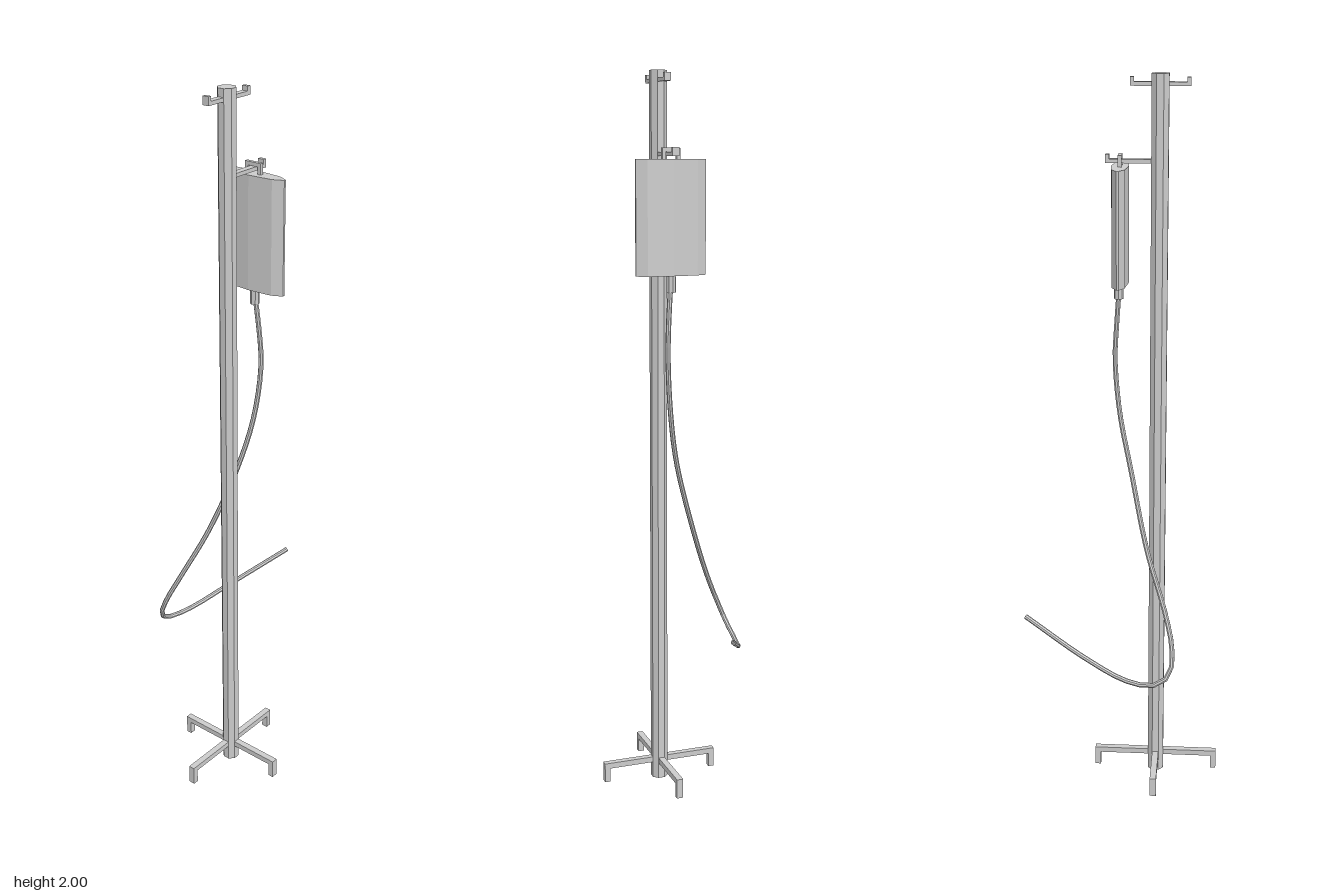
import * as THREE from 'three';

const TURN = THREE.MathUtils.degToRad(21);
const material = new THREE.MeshStandardMaterial({ color: 0xcccccc, flatShading: true });

function add(parent, name, geometry, x = 0, y = 0, z = 0) {
  const mesh = new THREE.Mesh(geometry, material);
  mesh.name = name;
  mesh.position.set(x, y, z);
  parent.add(mesh);
  return mesh;
}

// Bar running outwards along +x with its end bent up or down
function bentArm(name, length, thick, tip, width) {
  const shape = new THREE.Shape();
  const low = Math.min(0, tip), high = Math.max(thick, thick + tip);
  shape.moveTo(0, 0);
  shape.lineTo(length - thick, 0);
  if (tip < 0) shape.lineTo(length - thick, low);
  shape.lineTo(length, low);
  shape.lineTo(length, high);
  if (tip > 0) {
    shape.lineTo(length - thick, high);
    shape.lineTo(length - thick, thick);
  }
  shape.lineTo(0, thick);
  shape.closePath();
  const geometry = new THREE.ExtrudeGeometry(shape, { depth: width, bevelEnabled: false });
  geometry.translate(0, 0, -width / 2);
  const mesh = new THREE.Mesh(geometry, material);
  mesh.name = name;
  return mesh;
}

export function createModel() {
  const model = new THREE.Group();
  model.name = 'dripStand';

  // Stand, turned about the pole
  const stand = new THREE.Group();
  stand.name = 'stand';
  stand.position.set(-0.073, 0, 0.035);
  stand.rotation.y = TURN;
  model.add(stand);

  const pole = add(stand, 'pole', new THREE.CylinderGeometry(0.024, 0.024, 2, 8), 0, 1, 0);
  pole.rotation.y = Math.PI / 8;

  // Four legs with feet
  for (let i = 0; i < 4; i++) {
    const leg = bentArm('leg', i % 2 ? 0.168 : 0.178, 0.016, -0.04, 0.018);
    leg.position.y = 0.046;
    leg.rotation.y = i * Math.PI / 2;
    stand.add(leg);
  }

  // Two hooks at the top
  for (const angle of [0, Math.PI]) {
    const hook = bentArm('topHook', 0.077, 0.01, 0.012, 0.018);
    hook.position.y = 1.969;
    hook.rotation.y = angle;
    stand.add(hook);
  }

  // Arm that carries the bag
  const bagArm = bentArm('bagArm', 0.14, 0.01, 0.012, 0.018);
  bagArm.position.y = 1.777;
  stand.add(bagArm);

  // Bag, lens shaped in cross-section
  const bag = new THREE.Group();
  bag.name = 'bagAssembly';
  bag.position.set(0.023, 0, -0.001);
  bag.rotation.y = TURN;
  model.add(bag);

  const outline = [
    [0.003, -0.098], [0.017, -0.07], [0.023, 0], [0.017, 0.07], [0.003, 0.098],
    [-0.003, 0.098], [-0.017, 0.07], [-0.023, 0], [-0.017, -0.07], [-0.003, -0.098],
  ].map(([x, y]) => new THREE.Vector2(x, y));
  const bagGeometry = new THREE.ExtrudeGeometry(new THREE.Shape(outline), { depth: 0.303, bevelEnabled: false });
  bagGeometry.rotateX(-Math.PI / 2);
  add(bag, 'bag', bagGeometry, 0, 1.466, 0);

  // Hanging loop over the arm
  add(bag, 'loopTop', new THREE.BoxGeometry(0.01, 0.01, 0.05), 0, 1.793, 0);
  for (const side of [-1, 1]) {
    add(bag, 'loopSide', new THREE.BoxGeometry(0.01, 0.022, 0.01), 0, 1.778, side * 0.02);
  }

  // Outlet under the bag
  add(bag, 'outlet', new THREE.CylinderGeometry(0.013, 0.013, 0.046, 8), 0.004, 1.445, 0);

  // Loose hose
  const path = new THREE.CatmullRomCurve3([
    [0.028, 1.43, 0], [0.036, 1.35, 0.004], [0.042, 1.25, 0.006], [0.025, 1.1, 0],
    [-0.015, 0.95, -0.016], [-0.085, 0.74, -0.062], [-0.16, 0.58, -0.104],
    [-0.194, 0.49, -0.135], [-0.196, 0.43, -0.16], [-0.16, 0.4, -0.18],
    [-0.085, 0.4, -0.19], [0.04, 0.44, -0.189], [0.24, 0.52, -0.17],
  ].map((p) => new THREE.Vector3(...p)), false, 'centripetal');
  const hose = add(model, 'hose', new THREE.TubeGeometry(path, 40, 0.007, 8));
  hose.material = material.clone();
  hose.material.side = THREE.DoubleSide;

  return model;
}
